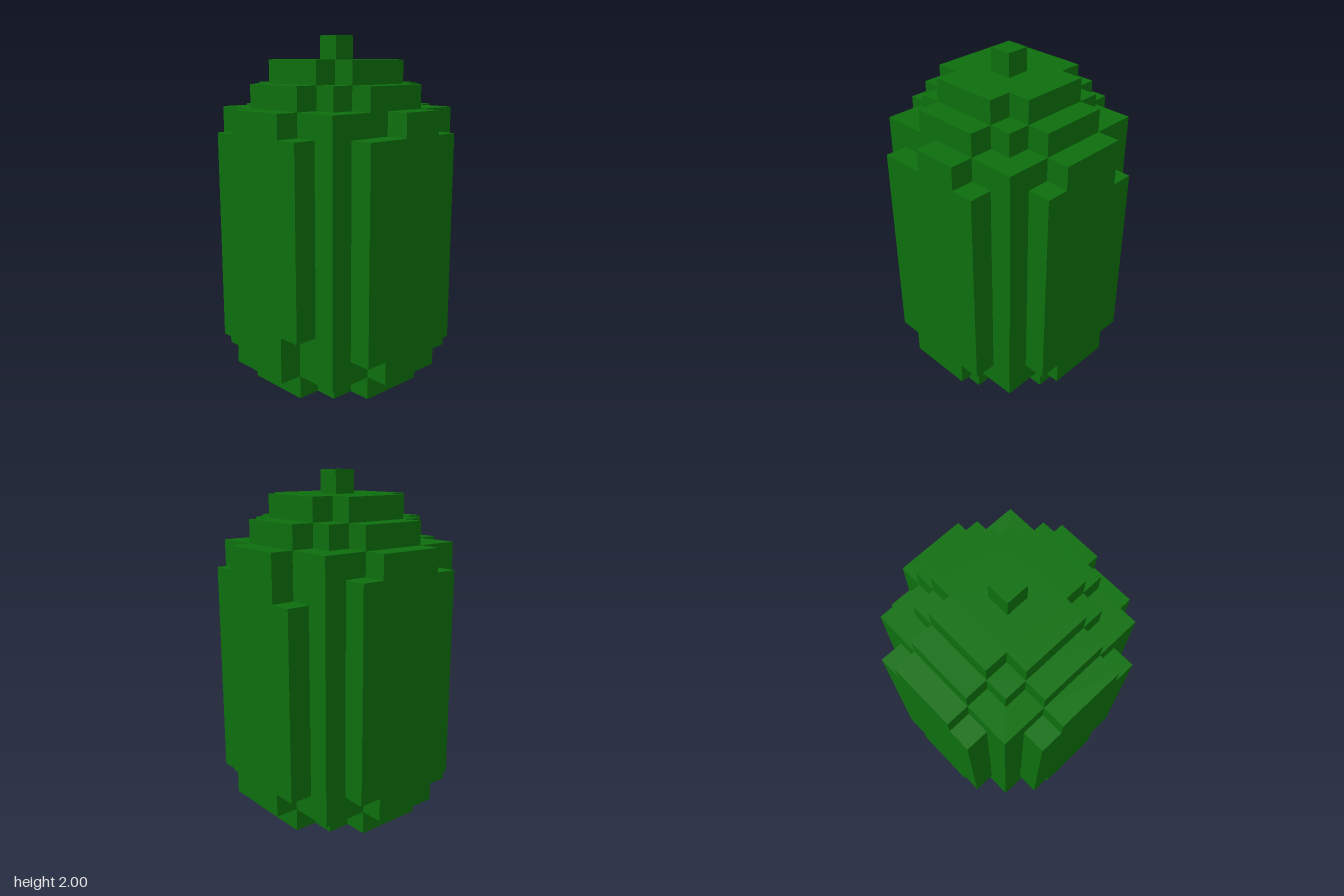
import * as THREE from 'three';

const U = 2 / 15; // edge of one block

// Extrudes a stepped outline given as [low, high] for each one-block column, centred on 0.
function steppedSlab(columns) {
  const x0 = -columns.length / 2;
  const points = [];
  const trace = (x, y) => {
    const n = points.length;
    if (n && points[n - 1].x === x && points[n - 1].y === y) return;
    if (n > 1 && points[n - 1].y === y && points[n - 2].y === y) points.pop();
    points.push(new THREE.Vector2(x, y));
  };
  columns.forEach(([low], i) => {
    trace(x0 + i, low);
    trace(x0 + i + 1, low);
  });
  for (let i = columns.length - 1; i >= 0; i--) {
    trace(x0 + i + 1, columns[i][1]);
    trace(x0 + i, columns[i][1]);
  }
  return new THREE.ExtrudeGeometry(new THREE.Shape(points), { depth: 1, bevelEnabled: false });
}

export function createModel() {
  const group = new THREE.Group();
  const green = new THREE.MeshStandardMaterial({ color: 0x0d6e0d });
  green.name = 'leaf green';

  const add = (name, geometry) => {
    geometry.scale(U, U, U);
    const mesh = new THREE.Mesh(geometry, green);
    mesh.name = name;
    group.add(mesh);
  };

  // square trunk
  add('core', new THREE.BoxGeometry(7, 11, 7).translate(0, 6.5, 0));

  // stepped foot and crown layers: half-depth of each column, and base height
  const layers = [
    ['foot', [1.5, 2.5, 3.5, 3.5, 3.5, 2.5, 1.5], 0],
    ['shoulder', [1.5, 2.5, 3.5, 3.5, 3.5, 2.5, 1.5], 12],
    ['crown', [1.5, 2.5, 2.5, 2.5, 1.5], 13],
  ];
  for (const [name, halves, y] of layers) {
    const slab = steppedSlab(halves.map((h) => [-h, h]));
    add(name, slab.rotateX(-Math.PI / 2).translate(0, y, 0));
  }

  // single block on top
  add('tip', new THREE.BoxGeometry(1, 1, 1).translate(0, 14.5, 0));

  // raised side panels, three of them with one block chipped off
  const panels = [
    ['frontPanel', 4, [3, 11]],
    ['rightPanel', 1, [1, 11]],
    ['backPanel', 4, [2, 10]],
    ['leftPanel', -1, null],
  ];
  panels.forEach(([name, chipped, span], i) => {
    const columns = [[2, 11], [1, 12], [1, 12], [1, 12], [2, 11]];
    if (span) columns[chipped] = span;
    add(name, steppedSlab(columns).translate(0, 0, 3.5).rotateY((i * Math.PI) / 2));
  });

  return group;
}
